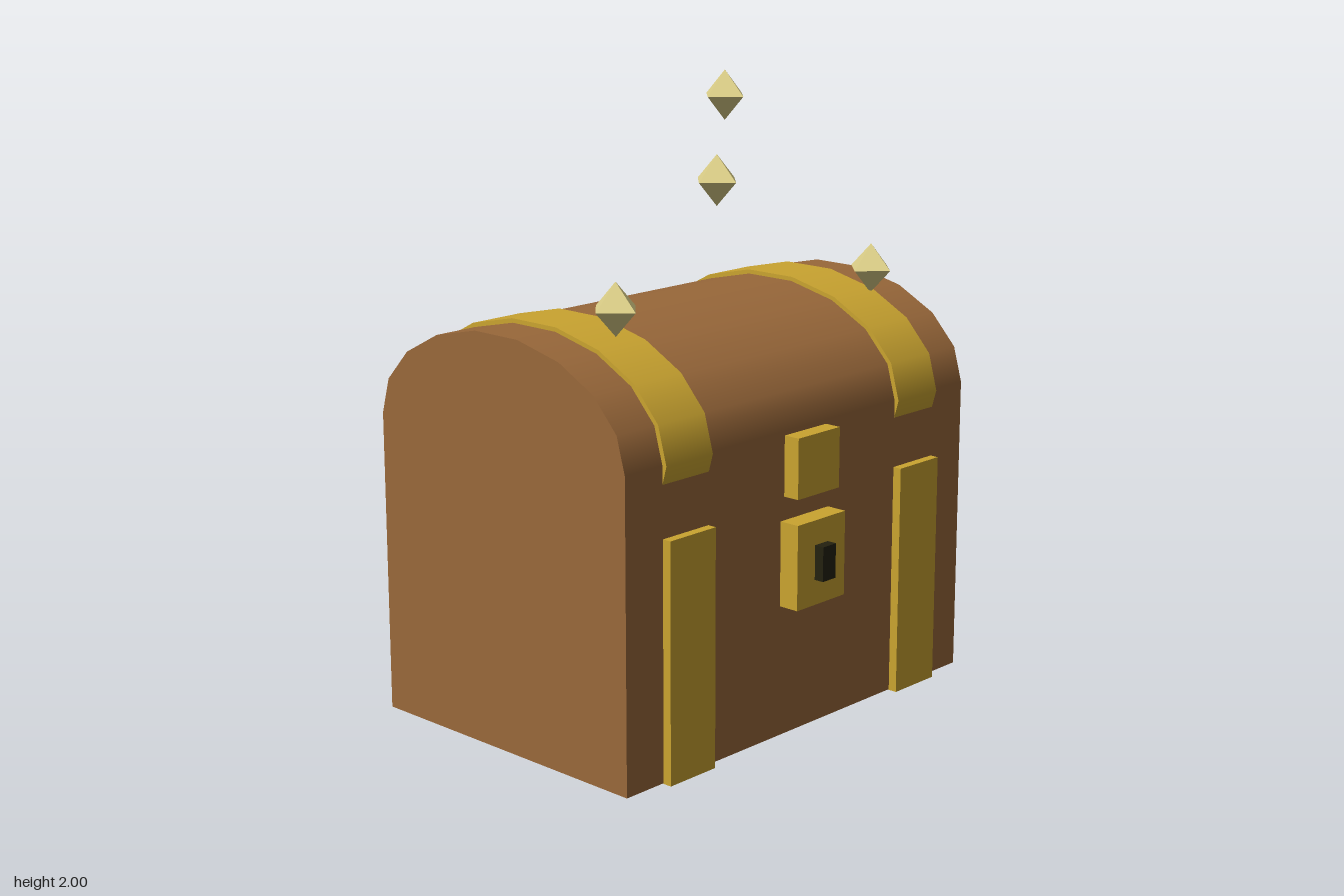
import * as THREE from 'three';

const wood = new THREE.MeshStandardMaterial({ color: 0x99683a, name: 'wood' });
const brass = new THREE.MeshStandardMaterial({ color: 0xcaa430, name: 'brass' });
const dark = new THREE.MeshStandardMaterial({ color: 0x24210f, name: 'dark keyhole' });
const pale = new THREE.MeshStandardMaterial({ color: 0xddd088, name: 'pale gold' });

const CENTRE_Z = -0.035;
const LID_Y = 0.985;

export function createModel() {
  const chest = new THREE.Group();
  chest.name = 'treasureChest';

  const add = (name, geometry, material, x, y, z) => {
    const mesh = new THREE.Mesh(geometry, material);
    mesh.name = name;
    mesh.position.set(x, y, z);
    chest.add(mesh);
  };

  // Box between given x, y and z limits
  const block = (name, material, [x0, x1], [y0, y1], [z0, z1]) =>
    add(name, new THREE.BoxGeometry(x1 - x0, y1 - y0, z1 - z0), material,
      (x0 + x1) / 2, (y0 + y1) / 2, (z0 + z1) / 2);

  // Flattened 18-sided barrel lying along x
  const barrel = (name, material, length, radiusY, radiusZ, x) => {
    const geometry = new THREE.CylinderGeometry(1, 1, length, 18);
    geometry.rotateZ(Math.PI / 2).scale(1, radiusY, radiusZ);
    add(name, geometry, material, x, LID_Y, CENTRE_Z);
  };

  // Wooden body and domed lid
  block('body', wood, [-0.787, 0.787], [0.002, LID_Y], [-0.57, 0.5]);
  barrel('lid', wood, 1.574, 0.334, 0.535, 0);

  // Brass straps round the body and bands over the lid
  for (const side of [-1, 1]) {
    const x = side * 0.535;
    const label = side > 0 ? 'left' : 'right';
    block(label + 'Strap', brass, [x - 0.097, x + 0.097], [0, 0.763], [-0.6, 0.53]);
    barrel(label + 'LidBand', brass, 0.197, 0.348, 0.551, x);
  }

  // Hasp, lock plate and keyhole
  block('hasp', brass, [-0.097, 0.097], [0.778, 0.972], [0.45, 0.556]);
  block('lockPlate', brass, [-0.112, 0.112], [0.428, 0.702], [0.45, 0.57]);
  block('keyhole', dark, [-0.03, 0.03], [0.51, 0.622], [0.54, 0.603]);

  // Floating sparkles
  const sparkle = new THREE.OctahedronGeometry(0.082);
  const spots = [[-0.62, 1.415, 0.3], [0.055, 1.693, 0.075], [0.336, 1.918, -0.15], [0.618, 1.357, 0.245]];
  spots.forEach((p, i) => add('sparkle' + (i + 1), sparkle, pale, ...p));

  return chest;
}
